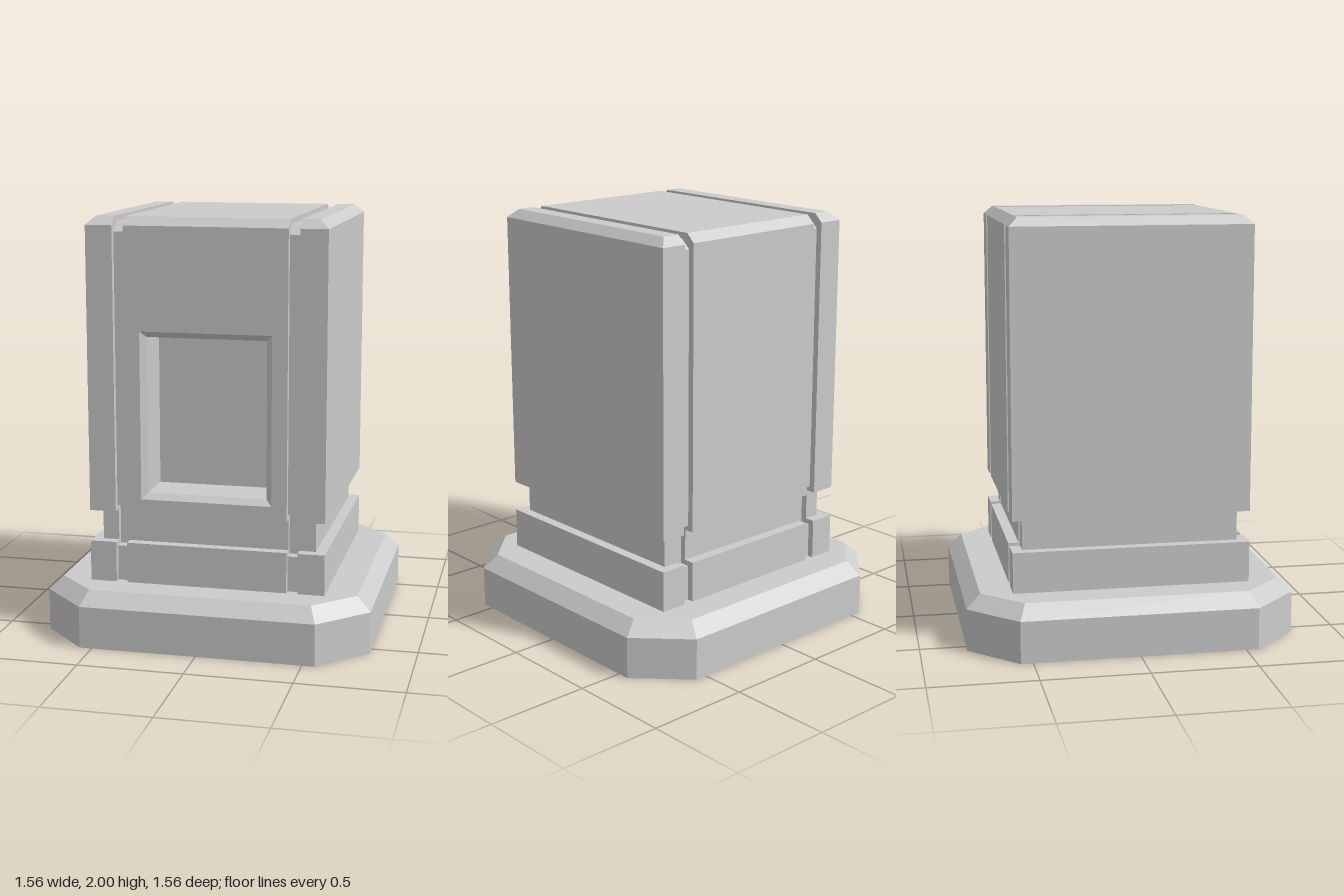
import * as THREE from 'three';

const material = new THREE.MeshStandardMaterial({ color: 0xcccccc, flatShading: true });

// Joins rings of [x, y, z] corners with flat faces; optional caps; skip(level, side) leaves a face open.
function loft(name, rings, { start = false, end = true, skip = () => false } = {}) {
  const positions = [];
  const quad = (a, b, c, d) => positions.push(...a, ...b, ...c, ...a, ...c, ...d);
  const fan = (r) => {
    for (let i = 1; i < r.length - 1; i++) positions.push(...r[0], ...r[i], ...r[i + 1]);
  };
  for (let i = 0; i < rings.length - 1; i++) {
    const lower = rings[i], upper = rings[i + 1], n = lower.length;
    for (let j = 0; j < n; j++) {
      const k = (j + 1) % n;
      if (!skip(i, j)) quad(lower[j], lower[k], upper[k], upper[j]);
    }
  }
  if (start) fan([...rings[0]].reverse());
  if (end) fan(rings[rings.length - 1]);
  const geometry = new THREE.BufferGeometry();
  geometry.setAttribute('position', new THREE.Float32BufferAttribute(positions, 3));
  geometry.computeVertexNormals();
  const mesh = new THREE.Mesh(geometry, material);
  mesh.name = name;
  return mesh;
}

const rect = (y, x0, x1, z) => [[x1, y, z], [x1, y, -z], [x0, y, -z], [x0, y, z]];
const octagon = (y, r, c) => [
  [c, y, r], [r, y, c], [r, y, -c], [c, y, -r],
  [-c, y, -r], [-r, y, -c], [-r, y, c], [-c, y, r],
];

// Pillar outline as [height, half width]: foot, narrow neck, tall body, chamfered top
const HALF = 0.565;
const BODY_BOTTOM = 0.61, BODY_TOP = 1.96;
const outline = [
  [0.26, HALF], [0.46, HALF], [0.46, 0.515], [BODY_BOTTOM, 0.515],
  [BODY_BOTTOM, HALF], [BODY_TOP, HALF], [2, 0.523],
];
// The same outline sunk by the groove depth
const grooveOutline = [
  [0.26, 0.535], [0.435, 0.535], [0.435, 0.485], [0.635, 0.485],
  [0.635, 0.535], [1.93, 0.535], [1.972, 0.488],
];
const GROOVE_IN = 0.385, GROOVE_OUT = 0.438;

export function createModel() {
  const group = new THREE.Group();

  // Chamfered eight-sided base
  group.add(loft('base', [octagon(0, 0.782, 0.558), octagon(0.2, 0.782, 0.558), octagon(0.265, 0.715, 0.528)], { start: true }));

  // Centre section, open at the front of the body where the niche panel sits
  group.add(loft('centreSection', outline.map(([y, r]) => rect(y, -GROOVE_IN, GROOVE_IN, r)), {
    skip: (level, side) => level === 4 && side === 3,
  }));

  // Outer sections and the grooves between them and the centre
  for (const [side, s] of [['left', 1], ['right', -1]]) {
    const span = (y, a, b, z) => rect(y, Math.min(s * a, s * b), Math.max(s * a, s * b), z);
    group.add(loft(`${side}Section`, outline.map(([y, r]) => span(y, GROOVE_OUT, r, r))));
    group.add(loft(`${side}Groove`, grooveOutline.map(([y, r]) => span(y, GROOVE_IN, GROOVE_OUT, r))));
  }

  // Front panel with a rectangular opening
  const niche = { x: 0.312, y0: 0.677, y1: 1.475 };
  const corners = (x, y0, y1) => [[-x, y0], [x, y0], [x, y1], [-x, y1]];
  const points = (list) => list.map(([x, y]) => new THREE.Vector2(x, y));
  const panel = new THREE.Shape(points(corners(GROOVE_IN, BODY_BOTTOM, BODY_TOP)));
  panel.holes.push(new THREE.Path(points(corners(niche.x, niche.y0, niche.y1)).reverse()));
  const frontPanel = new THREE.Mesh(new THREE.ShapeGeometry(panel), material);
  frontPanel.name = 'frontPanel';
  frontPanel.position.z = HALF;
  group.add(frontPanel);

  // Niche: bevelled rim, straight walls and back
  const nicheRing = (inset, z) =>
    corners(niche.x - inset, niche.y0 + inset, niche.y1 - inset).map(([x, y]) => [x, y, z]);
  group.add(loft('niche', [nicheRing(0, HALF), nicheRing(0.028, HALF - 0.028), nicheRing(0.028, HALF - 0.24)]));

  return group;
}
